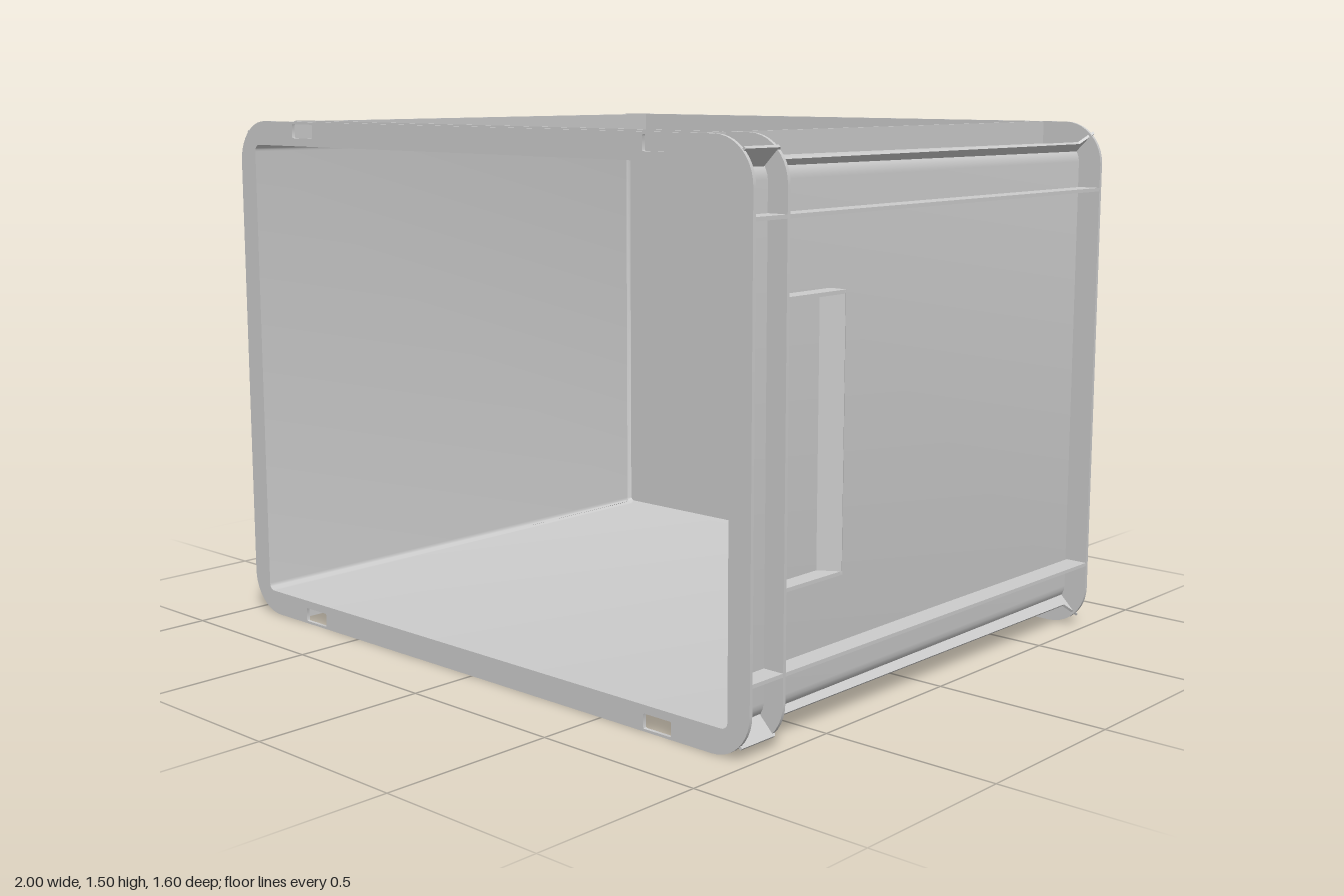
import * as THREE from 'three';
import { toCreasedNormals } from 'three/addons/utils/BufferGeometryUtils.js';

const CY = 0.75; // mid height
const FRONT = 0.8, COLLAR = 0.67, BACK = -0.76;
const T = 0.01; // thickness of ribs and flanges

// Outline of a rounded rectangle around the origin, counter-clockwise
function roundedPoints(hw, hh, r, n = 6) {
  const pts = [];
  [[1, 1], [-1, 1], [-1, -1], [1, -1]].forEach(([sx, sy], q) => {
    for (let i = 0; i <= n; i++) {
      const a = (q + i / n) * Math.PI / 2;
      pts.push(new THREE.Vector2(sx * (hw - r) + r * Math.cos(a), sy * (hh - r) + r * Math.sin(a)));
    }
  });
  return pts;
}

// Skin through a series of rounded rectangles [halfWidth, halfHeight, radius, z]
function loft(stations) {
  const pos = [];
  const loops = stations.map(([w, h, r, z]) =>
    roundedPoints(w, h, r).map(p => new THREE.Vector3(p.x, p.y, z)));
  const tri = (a, b, c) => {
    if (a.equals(b) || b.equals(c) || a.equals(c)) return;
    for (const p of [a, b, c]) pos.push(p.x, p.y, p.z);
  };
  for (let k = 0; k + 1 < loops.length; k++) {
    const A = loops[k], B = loops[k + 1];
    for (let i = 0; i < A.length; i++) {
      const j = (i + 1) % A.length;
      tri(A[i], A[j], B[j]);
      tri(A[i], B[j], B[i]);
    }
  }
  const g = new THREE.BufferGeometry();
  g.setAttribute('position', new THREE.Float32BufferAttribute(pos, 3));
  return toCreasedNormals(g, 0.6);
}

// Flat frame around the shell, with optional slots
function flangeGeometry(holeW, holeH, slots) {
  const shape = new THREE.Shape(roundedPoints(1, 0.75, 0.12, 10));
  shape.holes.push(new THREE.Path(roundedPoints(holeW, holeH, 0.02).reverse()));
  if (slots) {
    for (const sx of [-1, 1]) for (const sy of [-1, 1]) {
      const slot = roundedPoints(0.048, 0.02, 0.004, 2);
      slot.forEach(p => p.add(new THREE.Vector2(sx * 0.698, sy * 0.723)));
      shape.holes.push(new THREE.Path(slot.reverse()));
    }
  }
  return toCreasedNormals(new THREE.ExtrudeGeometry(shape, { depth: T, bevelEnabled: false }), 0.6);
}

export function createModel() {
  const model = new THREE.Group();
  model.name = 'storageCrate';
  const crate = new THREE.Group();
  crate.name = 'crate';
  crate.position.y = CY;
  model.add(crate);
  const material = new THREE.MeshStandardMaterial({ color: 0xcccccc });

  const add = (name, geometry, x = 0, y = 0, z = 0) => {
    const mesh = new THREE.Mesh(geometry, material);
    mesh.name = name;
    mesh.position.set(x, y, z);
    crate.add(mesh);
    return mesh;
  };

  // Open shell: base, tapered outer wall, front lip, inner wall, floor
  add('shell', loft([
    [0, 0, 0, -0.8],
    [0.92, 0.675, 0.04, -0.8],
    [0.93, 0.685, 0.05, -0.79],
    [0.93, 0.685, 0.05, BACK],
    [0.94, 0.69, 0.05, FRONT],
    [0.93, 0.68, 0.02, FRONT],
    [0.915, 0.67, 0.02, -0.77],
    [0.905, 0.66, 0.015, -0.78],
    [0, 0, 0, -0.78],
  ]));

  // Rim, collar behind it, and base flange
  add('frontRim', flangeGeometry(0.931, 0.681, true), 0, 0, FRONT - T);
  add('collar', flangeGeometry(0.932, 0.682, false), 0, 0, COLLAR - T / 2);
  add('baseFlange', flangeGeometry(0.92, 0.675, false), 0, 0, BACK);

  // Long ribs on all four walls
  const ribLength = FRONT - BACK, ribZ = (FRONT + BACK) / 2;
  for (const sx of [-1, 1]) for (const sy of [-1, 1]) {
    add('wallRib', new THREE.BoxGeometry(T, 0.065, ribLength - 0.002), sx * 0.803, sy * 0.717, ribZ);
    add('sideRib', new THREE.BoxGeometry(0.065, T, ribLength - 0.002), sx * 0.967, sy * 0.557, ribZ);
  }

  // Diagonal corner fins, wider where they meet the flanges
  const fin = new THREE.Shape([
    [BACK, 0.015], [FRONT - 0.005, 0.036], [FRONT - 0.005, 0.099], [COLLAR, 0.099],
    [0.64, 0.056], [-0.73, 0.056], [BACK, 0.099],
  ].map(([z, v]) => new THREE.Vector2(z, v)));
  const along = new THREE.Vector3(0, 0, 1);
  for (const sx of [-1, 1]) for (const sy of [-1, 1]) {
    const out = new THREE.Vector3(sx, sy, 0).normalize();
    const side = new THREE.Vector3().crossVectors(along, out);
    const g = new THREE.ExtrudeGeometry(fin, { depth: 0.008, bevelEnabled: false });
    g.translate(0, 0, -0.004);
    g.applyMatrix4(new THREE.Matrix4().makeBasis(along, out, side));
    add('cornerFin', g, sx * 0.9, sy * 0.65, 0);
  }

  // Side handles: two short ribs joined by a slanted grip plate
  for (const s of [-1, 1]) {
    for (const y of [0.4, 1.11]) {
      add('handleRib', new THREE.BoxGeometry(0.055, T, 0.24), s * 0.962, y - CY, 0.55);
    }
    const grip = add('handleGrip', new THREE.BoxGeometry(0.066, 0.71, T), s * 0.961, 0.755 - CY, 0.45);
    grip.rotation.y = s * Math.atan2(0.035, 0.055);
  }

  return model;
}
